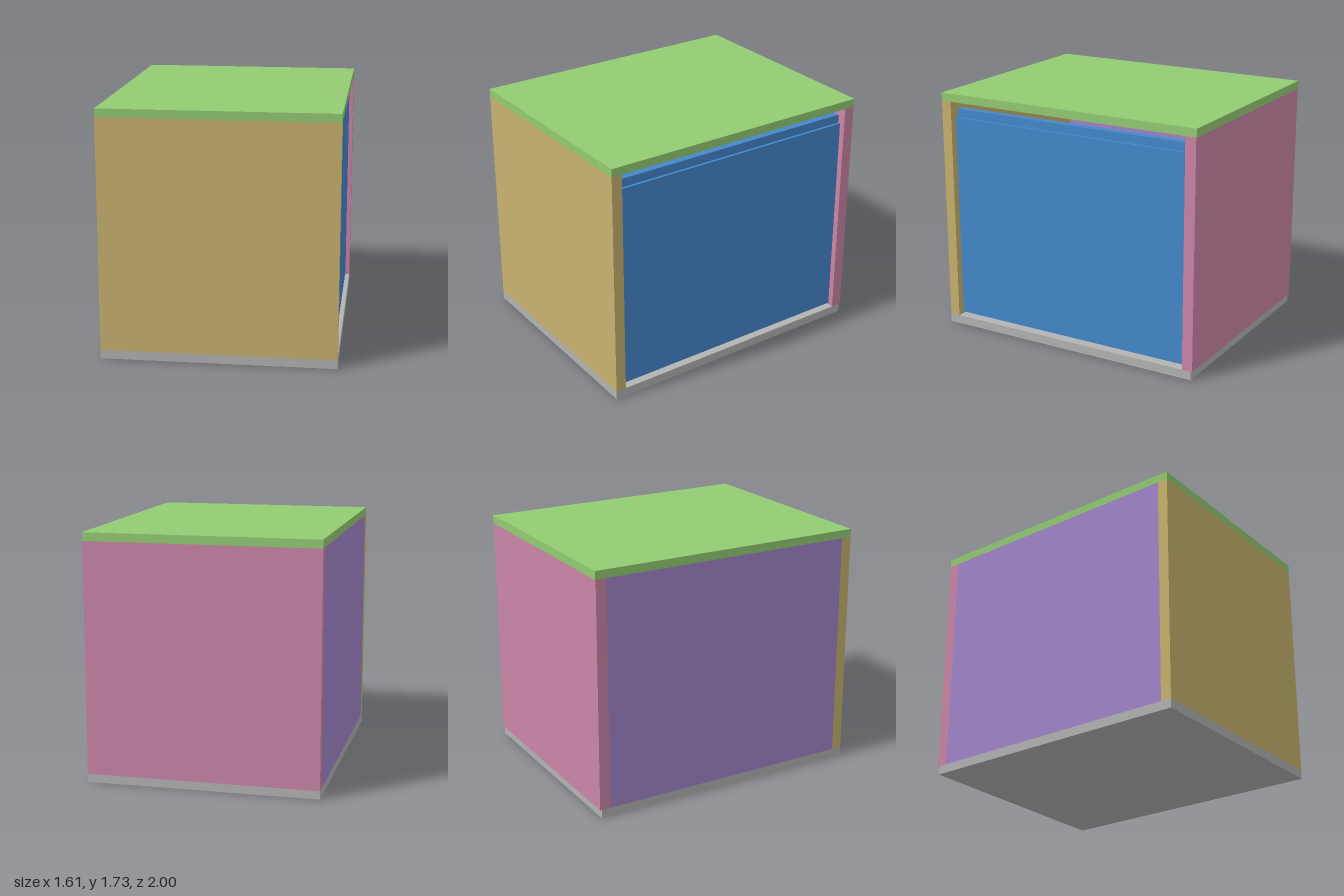
import * as THREE from 'three';

export function createModel() {
  const group = new THREE.Group();
  group.name = 'cabinet';

  const add = (name, geometry, color) => {
    const mesh = new THREE.Mesh(geometry, new THREE.MeshStandardMaterial({ color }));
    mesh.name = name;
    group.add(mesh);
    return mesh;
  };

  // Board given by its lower and upper corner
  const board = (name, color, a, b) => {
    const size = b.map((v, i) => v - a[i]);
    const mesh = add(name, new THREE.BoxGeometry(...size), color);
    mesh.position.set(...a.map((v, i) => v + size[i] / 2));
  };

  const W = 0.805, floorTop = 0.062, wallTop = 1.667, height = 1.725;

  // Carcass: base, lid, end walls and the closed side wall
  board('basePanel', 0xb3b3b3, [-W, 0, -0.985], [W, floorTop, 1]);
  board('topPanel', 0x92cb72, [-W, wallTop, -1], [W, height, 1]);
  board('frontPanel', 0xc8b26e, [-W, floorTop, 0.925], [W, wallTop, 1]);
  board('backPanel', 0xcb85a6, [-W, floorTop, -0.997], [W, wallTop, -0.92]);
  board('sidePanel', 0xa184cb, [-W, floorTop, -0.92], [-W + 0.075, wallTop, 0.925]);

  // Recessed door with a stepped-back finger lip along its top edge
  const face = 0.775, lip = 0.755, inner = 0.7;
  const profile = new THREE.Shape([
    [inner, 0.085], [face, 0.085], [face, 1.55], [lip, 1.55], [lip, 1.61], [inner, 1.61],
  ].map(([x, y]) => new THREE.Vector2(x, y)));
  const length = 1.815;
  const door = add('door', new THREE.ExtrudeGeometry(profile, { depth: length, bevelEnabled: false }), 0x4488cb);
  door.position.z = -length / 2;

  return group;
}
